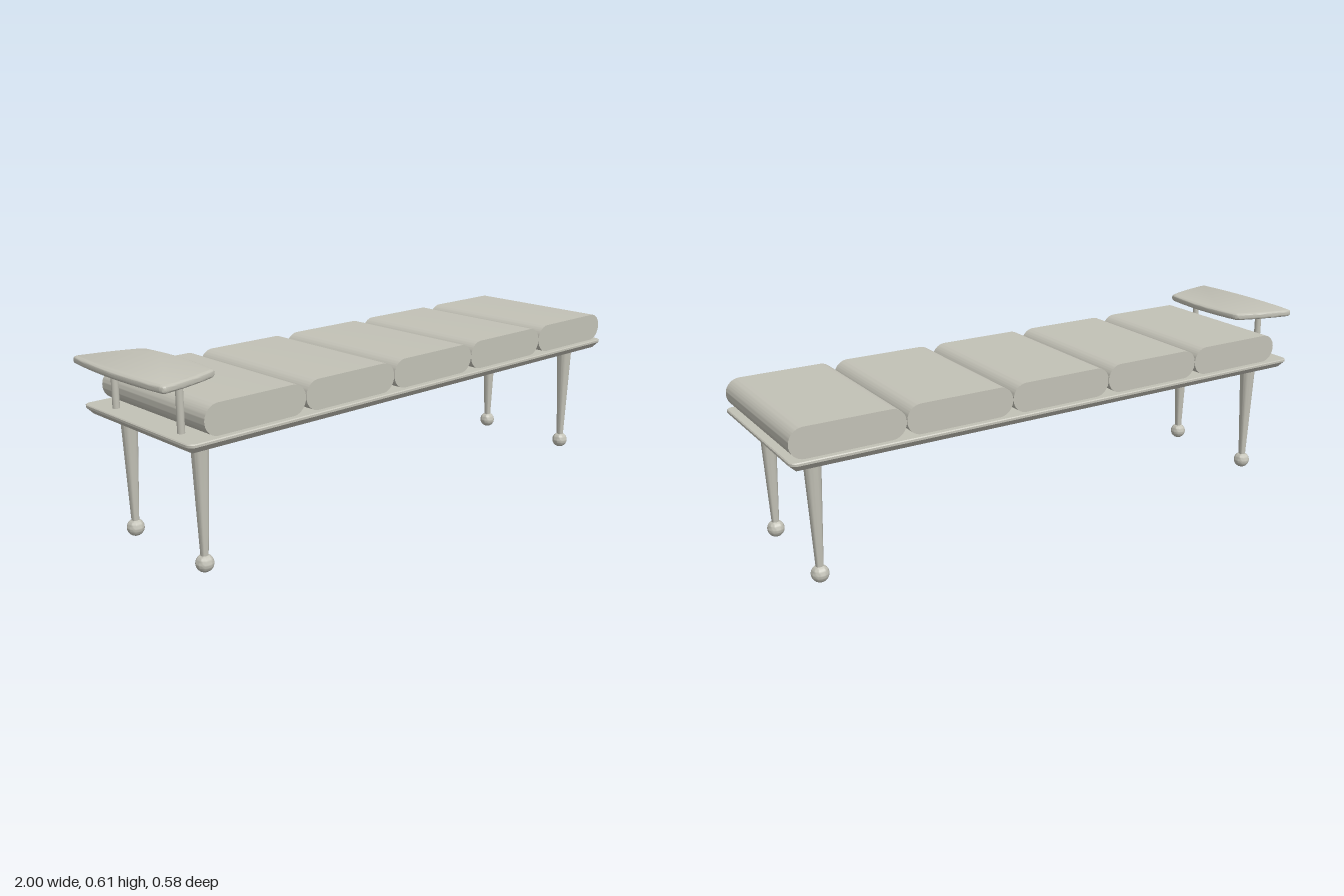
import * as THREE from 'three';
import { toCreasedNormals } from 'three/addons/utils/BufferGeometryUtils.js';

const fabric = new THREE.MeshStandardMaterial({ color: 0xc2c1b6 });
fabric.name = 'warm grey';

function addMesh(parent, name, geometry, x = 0, y = 0, z = 0) {
  const mesh = new THREE.Mesh(geometry, fabric);
  mesh.name = name;
  mesh.position.set(x, y, z);
  parent.add(mesh);
  return mesh;
}

// Rounded rectangle outline, as points in the x/z plane
function roundedRect(halfX, halfZ, radius, steps = 5) {
  const points = [];
  for (let corner = 0; corner < 4; corner++) {
    const sx = corner === 0 || corner === 3 ? 1 : -1;
    const sz = corner < 2 ? 1 : -1;
    for (let i = 0; i <= steps; i++) {
      const a = (corner + i / steps) * Math.PI / 2;
      points.push([
        sx * (halfX - radius) + radius * Math.cos(a),
        sz * (halfZ - radius) + radius * Math.sin(a),
      ]);
    }
  }
  return points;
}

// Board lofted through inset outlines, closed at both ends
function boardGeometry(halfX, halfZ, sections) {
  const pos = [], index = [];
  const rings = sections.map(([y, inset]) =>
    roundedRect(halfX - inset, halfZ - inset, Math.max(0.004, 0.024 - inset))
      .map(([x, z]) => [x, y, z]));
  const n = rings[0].length;
  rings.forEach((ring) => ring.forEach((p) => pos.push(...p)));
  for (let r = 0; r < rings.length - 1; r++) {
    for (let i = 0; i < n; i++) {
      const a = r * n + i, b = r * n + (i + 1) % n;
      index.push(a, a + n, b, b, a + n, b + n);
    }
  }
  const top = (rings.length - 1) * n;
  for (let i = 1; i < n - 1; i++) {
    index.push(0, i, i + 1, top, top + i + 1, top + i);
  }
  const geometry = new THREE.BufferGeometry();
  geometry.setAttribute('position', new THREE.Float32BufferAttribute(pos, 3));
  geometry.setIndex(index);
  return toCreasedNormals(geometry, 0.45);
}

// Bolster cushion: stadium section extruded across the bench
function cushionGeometry(width, height, depth) {
  const r = height / 2, h = width / 2 - r;
  const shape = new THREE.Shape();
  shape.moveTo(-h, -r);
  shape.lineTo(h, -r);
  shape.absarc(h, 0, r, -Math.PI / 2, Math.PI / 2, false);
  shape.lineTo(-h, r);
  shape.absarc(-h, 0, r, Math.PI / 2, Math.PI * 1.5, false);
  const geometry = new THREE.ExtrudeGeometry(shape, { depth, bevelEnabled: false, curveSegments: 20 });
  geometry.translate(0, 0, -depth / 2);
  return toCreasedNormals(geometry, 0.6);
}

// Tapered leg with a ball foot
function legGeometry() {
  const points = [new THREE.Vector2(0, 0)];
  const r = 0.0285, cy = 0.0268;
  for (let i = 0; i <= 14; i++) {
    const a = THREE.MathUtils.lerp(-1.225, 1.12, i / 14);
    points.push(new THREE.Vector2(r * Math.cos(a), cy + r * Math.sin(a)));
  }
  points.push(new THREE.Vector2(0.028, 0.412));
  return toCreasedNormals(new THREE.LatheGeometry(points, 32), 0.6);
}

// Headrest: bowed, tapering panel with a fully rounded rim
function headrestGeometry() {
  const r = 0.0125;
  const shape = new THREE.Shape();
  shape.moveTo(-0.986, -0.228);
  shape.quadraticCurveTo(-0.985, -0.248, -0.966, -0.245);
  shape.quadraticCurveTo(-0.865, -0.228, -0.778, -0.192);
  shape.quadraticCurveTo(-0.764, -0.186, -0.761, -0.168);
  shape.quadraticCurveTo(-0.735, 0, -0.761, 0.168);
  shape.quadraticCurveTo(-0.764, 0.186, -0.778, 0.192);
  shape.quadraticCurveTo(-0.865, 0.228, -0.966, 0.245);
  shape.quadraticCurveTo(-0.985, 0.248, -0.986, 0.228);
  shape.quadraticCurveTo(-1.014, 0, -0.986, -0.228);
  const geometry = new THREE.ExtrudeGeometry(shape, {
    depth: 0.003, curveSegments: 10, bevelEnabled: true,
    bevelThickness: 0.011, bevelSize: r, bevelOffset: -r, bevelSegments: 6,
  });
  geometry.rotateX(-Math.PI / 2);
  return toCreasedNormals(geometry, 0.7);
}

export function createModel() {
  const model = new THREE.Group();
  model.name = 'daybed';
  const centreX = 0.031;

  // Platform with a chamfered underside
  addMesh(model, 'platform', boardGeometry(0.966, 0.29, [
    [0.408, 0.022], [0.43, 0], [0.437, 0], [0.44, 0.003],
  ]), centreX);

  // Row of five cushions
  const cushion = cushionGeometry(0.3725, 0.098, 0.546);
  for (let i = 0; i < 5; i++) {
    addMesh(model, `cushion${i + 1}`, cushion, -0.686 + i * 0.3736, 0.491, 0);
  }

  // Four legs
  const leg = legGeometry();
  for (const sx of [-1, 1]) {
    for (const sz of [-1, 1]) {
      addMesh(model, `${sz > 0 ? 'front' : 'back'}${sx > 0 ? 'Left' : 'Right'}Leg`,
        leg, centreX + sx * 0.865, 0, sz * 0.19);
    }
  }

  // Headrest on two posts
  const headrest = new THREE.Group();
  headrest.name = 'headrest';
  model.add(headrest);
  addMesh(headrest, 'headrestPanel', headrestGeometry(), 0, 0.596, 0);
  const post = new THREE.CylinderGeometry(0.0115, 0.0115, 0.155, 24);
  for (const sz of [-1, 1]) {
    addMesh(headrest, sz > 0 ? 'frontPost' : 'backPost', post, -0.885, 0.5135, sz * 0.175);
  }
  return model;
}
